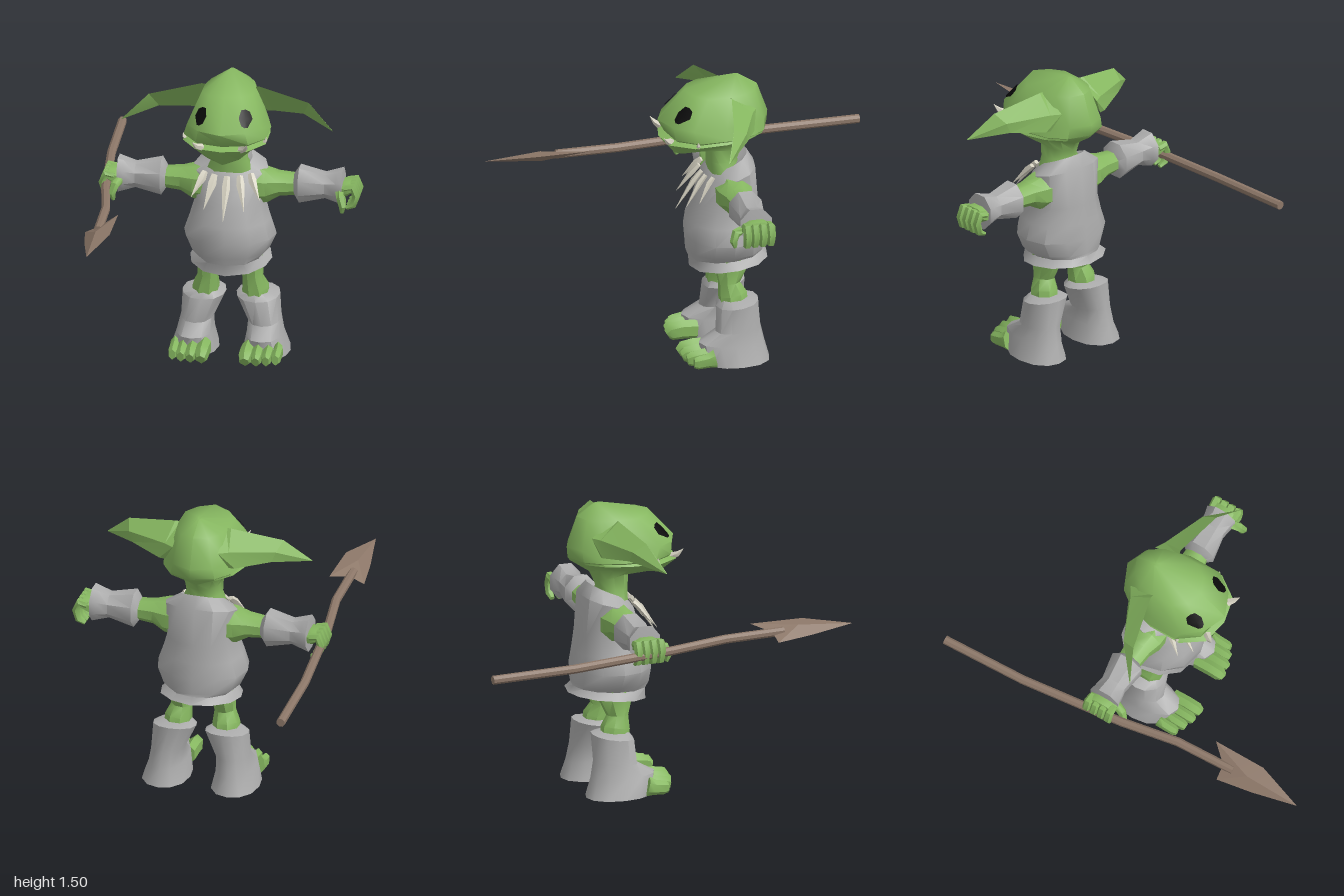
import * as THREE from 'three';
import { toCreasedNormals } from 'three/addons/utils/BufferGeometryUtils.js';

const mat = (name, color) => {
  const m = new THREE.MeshStandardMaterial({ color });
  m.name = name;
  return m;
};
const V = (a) => new THREE.Vector3(...a);

// Turns triangles into a closed mesh whose faces point outwards
function solid(name, pts, tris, material, crease = 0.75) {
  let volume = 0;
  for (const [a, b, c] of tris) volume += pts[a].dot(pts[b].clone().cross(pts[c]));
  const index = tris.flatMap(([a, b, c]) => (volume < 0 ? [a, c, b] : [a, b, c]));
  const geo = new THREE.BufferGeometry().setFromPoints(pts);
  geo.setIndex(index);
  const mesh = new THREE.Mesh(toCreasedNormals(geo, crease), material);
  mesh.name = name;
  return mesh;
}

// Skins a list of rings and closes both ends
function loft(name, rings, material, crease) {
  const n = rings[0].length, pts = rings.flat(), tris = [];
  for (let r = 0; r + 1 < rings.length; r++) {
    for (let i = 0; i < n; i++) {
      const a = r * n + i, b = r * n + ((i + 1) % n);
      tris.push([a, b, a + n], [b, b + n, a + n]);
    }
  }
  for (const r of [0, rings.length - 1]) {
    const mid = new THREE.Vector3();
    rings[r].forEach((p) => mid.addScaledVector(p, 1 / n));
    const c = pts.push(mid) - 1;
    for (let i = 0; i < n; i++) {
      const a = r * n + i, b = r * n + ((i + 1) % n);
      tris.push(r ? [c, a, b] : [c, b, a]);
    }
  }
  return solid(name, pts, tris, material, crease);
}

// Round section swept along a path, one [a, b] radius pair per point
function sweep(name, path, radii, material, sides = 8, crease) {
  const p = path.map(V), last = p.length - 1;
  const rings = p.map((c, i) => {
    const t = p[Math.min(i + 1, last)].clone().sub(p[Math.max(i - 1, 0)]).normalize();
    const ref = Math.abs(t.z) > 0.8 ? V([0, 1, 0]) : V([0, 0, 1]);
    const b = ref.addScaledVector(t, -ref.dot(t)).normalize();
    const n = t.clone().cross(b);
    return Array.from({ length: sides }, (_, k) => {
      const a = ((k + 0.5) / sides) * Math.PI * 2;
      return c.clone().addScaledVector(n, Math.cos(a) * radii[i][0]).addScaledVector(b, Math.sin(a) * radii[i][1]);
    });
  });
  return loft(name, rings, material, crease);
}

// Horizontal half-outlines: [share of half width, share of depth from back]
const bodyShape = [[0, 1], [0.55, 0.93], [0.9, 0.72], [1, 0.48], [0.88, 0.22], [0.5, 0.05], [0, 0]];
const headShape = (corner) => [[0, 1], [0.63, corner], [1, 0.75], [1, 0.45], [0.86, 0.24], [0.55, 0.08], [0, 0]];

// Ring from half width, front z, back z, front y, back y
function slice([hw, zf, zb, yf, yb = yf, cx = 0, lift = 0], shape = bodyShape) {
  const at = ([x, t], s) => V([cx + s * x * hw, yb + (yf - yb) * t + lift * x, zb + (zf - zb) * t]);
  return [...shape.map((q) => at(q, 1)), ...shape.slice(1, -1).reverse().map((q) => at(q, -1))];
}

export function createModel() {
  const skin = mat('green skin', 0x86b760), cloth = mat('grey cloth', 0xacacac);
  const wood = mat('brown wood', 0x8c7768), ivory = mat('ivory', 0xd6d2c2), black = mat('black', 0x0a0a0a);
  const model = new THREE.Group();
  const body = new THREE.Group();
  body.name = 'body';
  body.position.x = 0.018;
  model.add(body);

  // Head, jaw and neck
  const head = loft('head', [
    [0.13, -0.03, -0.2, 0.94, 0.98],
    [0.09, -0.025, -0.18, 1.05],
    [0.095, -0.02, -0.2, 1.14, 1.1],
    [0.13, 0.145, -0.22, 1.097, 1.14, 0, 0.04],
    [0.212, 0.23, -0.325, 1.2, 1.21],
    [0.2, 0.185, -0.33, 1.212, 1.22],
    [0.212, 0.2, -0.335, 1.225, 1.225],
    [0.192, 0.235, -0.34, 1.29, 1.28],
    [0.13, 0.095, -0.285, 1.443, 1.435, 0, -0.01],
    [0.01, -0.15, -0.19, 1.498],
  ].map((r, i) => slice(r, headShape(i > 6 ? 0.91 : 0.95))), skin, 0.9);
  head.updateMatrixWorld();

  // Tunic with flared hem
  body.add(head, loft('tunic', [
    [0.08, -0.05, -0.19, 0.97, 1.05],
    [0.11, -0.03, -0.228, 0.992, 1.082],
    [0.19, 0.0, -0.265, 0.955, 1.02],
    [0.18, 0.05, -0.285, 0.82],
    [0.208, 0.087, -0.295, 0.725],
    [0.237, 0.096, -0.305, 0.64],
    [0.2, 0.09, -0.308, 0.56],
    [0.172, 0.075, -0.308, 0.52, 0.545],
    [0.21, 0.07, -0.333, 0.462, 0.51, 0, 0.01],
    [0.17, 0.03, -0.28, 0.5, 0.53],
  ].map((r) => slice(r)), cloth, 0.8));

  // Eyes follow the face surface
  const ray = new THREE.Raycaster();
  const eyeOutline = [[0.016, 0.024], [-0.004, 0.038], [-0.024, 0.04], [-0.032, 0.008], [-0.016, -0.024], [0.002, -0.034], [0.016, -0.036], [0.032, -0.008]];
  for (const s of [1, -1]) {
    const pts = [[0, 0], ...eyeOutline].map(([x, y]) => {
      const px = s * (0.111 + x), py = 1.345 + y;
      ray.set(V([px, py, 2]), V([0, 0, -1]));
      const hit = ray.intersectObject(head)[0];
      return V([px, py, hit ? hit.point.z : 0.12]).add(V([s * 0.004, 0.004, 0.005]));
    });
    const n = eyeOutline.length, index = [];
    for (let i = 0; i < n; i++) {
      const a = i + 1, b = ((i + 1) % n) + 1;
      index.push(0, ...(s > 0 ? [a, b] : [b, a]));
    }
    const geo = new THREE.BufferGeometry().setFromPoints(pts);
    geo.setIndex(index);
    geo.computeVertexNormals();
    const eye = new THREE.Mesh(geo, black);
    eye.name = s > 0 ? 'leftEye' : 'rightEye';
    body.add(eye);
  }

  for (const s of [1, -1]) {
    const side = s > 0 ? 'left' : 'right';
    const M = (path) => path.map(([x, y, z]) => [s * x, y, z]);
    const add = (part, path, radii, material, sides, crease) =>
      body.add(sweep(side + part, M(path), radii, material, sides, crease));

    // Ear: triangular sections of top edge, lower edge and back ridge
    body.add(loft(side + 'Ear', [
      [[0.12, 1.43, -0.11], [0.17, 1.262, -0.22], [0.12, 1.35, -0.25]],
      [[0.148, 1.432, -0.115], [0.2, 1.264, -0.22], [0.17, 1.35, -0.22]],
      [[0.41, 1.38, -0.06], [0.37, 1.288, -0.14], [0.39, 1.34, -0.13]],
      [[0.543, 1.257, 0.0], [0.541, 1.255, -0.004], [0.542, 1.257, -0.004]],
    ].map((r) => M(r).map(V)), skin, 0.3));

    // Tusks
    add('FrontTusk', [[0.1, 1.205, 0.19], [0.125, 1.22, 0.215], [0.14, 1.248, 0.238]], [[0.02, 0.02], [0.014, 0.014], [0.001, 0.001]], ivory, 5);
    add('SideTusk', [[0.195, 1.2, 0.07], [0.21, 1.215, 0.075], [0.213, 1.235, 0.075]], [[0.01, 0.014], [0.008, 0.01], [0.001, 0.001]], ivory, 5);

    // Arm and bracer
    add('Arm', [[0.13, 0.9, -0.125], [0.185, 0.902, -0.125], [0.25, 0.91, -0.127], [0.35, 0.91, -0.13], [0.56, 0.905, -0.13]],
      [[0.1, 0.1], [0.093, 0.095], [0.065, 0.072], [0.055, 0.06], [0.045, 0.055]], skin);
    add('Bracer', [0.325, 0.353, 0.485, 0.545, 0.575, 0.58].map((x) => [x, 0.912, -0.132]),
      [[0.055, 0.06], [0.1, 0.092], [0.068, 0.07], [0.088, 0.08], [0.098, 0.088], [0.045, 0.055]], cloth);

    // Hand with curled fingers and thumb
    add('Palm', [[0.54, 0.9, -0.13], [0.585, 0.908, -0.13], [0.625, 0.92, -0.13]], [[0.04, 0.055], [0.045, 0.082], [0.03, 0.082]], skin);
    for (let f = 0; f < 4; f++) {
      const z = -0.07 - f * 0.041;
      add('Finger' + (f + 1), [[0.59, 0.92, z], [0.632, 0.93, z], [0.65, 0.885, z], [0.635, 0.835, z], [0.6, 0.818, z]],
        [[0.02, 0.02], [0.022, 0.023], [0.02, 0.023], [0.019, 0.021], [0.011, 0.014]], skin, 6);
    }
    add('Thumb', [[0.56, 0.9, -0.08], [0.58, 0.885, -0.025], [0.59, 0.845, -0.01], [0.585, 0.81, -0.02]],
      [[0.025, 0.025], [0.024, 0.024], [0.02, 0.02], [0.01, 0.01]], skin, 6);

    // Leg and boot
    add('Leg', [[0.11, 0.56, -0.12], [0.112, 0.49, -0.12], [0.115, 0.4, -0.11], [0.126, 0.34, -0.125], [0.13, 0.28, -0.13]],
      [[0.062, 0.1], [0.06, 0.09], [0.054, 0.056], [0.07, 0.075], [0.07, 0.075]], skin);
    body.add(loft(side + 'Boot', [
      [0.075, -0.06, -0.215, 0.318, 0.325, s * 0.13],
      [0.112, -0.035, -0.253, 0.285, 0.318, s * 0.138],
      [0.085, -0.025, -0.258, 0.16, 0.18, s * 0.172],
      [0.095, 0.065, -0.278, 0.11, 0.09, s * 0.178],
      [0.122, 0.045, -0.302, 0, 0, s * 0.183],
    ].map((r) => slice(r)), cloth, 0.8));

    // Toes, big toe on the inside
    [[0.112, 0.035, 0.155], [0.168, 0.028, 0.15], [0.218, 0.026, 0.135], [0.264, 0.025, 0.11]].forEach(([x, r, z], i) =>
      add('Toe' + (i + 1), [[x, 0.05, 0], [x, 0.054 - i * 0.004, z - 0.075], [x, 0.048 - i * 0.004, z - 0.02], [x, 0.036, z]],
        [[r, 0.052], [r, 0.052 - i * 0.004], [r, 0.048 - i * 0.004], [r * 0.7, 0.028]], skin, 6));
  }

  // Necklace of fangs
  [[0, 0.98, 0.005, 0, 0.785, 0.14], [0.065, 0.985, 0, 0.103, 0.835, 0.11], [0.118, 0.99, -0.025, 0.175, 0.88, 0.06]].forEach(([x, y, z, tx, ty, tz], i) => {
    for (const s of i ? [1, -1] : [1]) {
      body.add(sweep('necklaceFang', [[s * x, y, z], [s * (x * 0.8 + tx * 0.2), y * 0.75 + ty * 0.25, z * 0.7 + tz * 0.3], [s * tx, ty, tz]],
        [[0.016, 0.012], [0.023, 0.014], [0.001, 0.001]], ivory, 5));
    }
  });

  // Spear shaft
  const spear = new THREE.Group();
  spear.name = 'spear';
  model.add(spear);
  const shaft = [[-0.675, 0.846, -1], [-0.66, 0.852, -0.55], [-0.605, 0.874, 0], [-0.555, 0.887, 0.3], [-0.545, 0.893, 0.62]];
  spear.add(sweep('spearShaft', shaft, shaft.map(() => [0.023, 0.023]), wood, 8));

  // Spearhead: outline fanned to an upper and a lower ridge point
  const rim = [[-0.465, 0.925, 0.47], [-0.465, 0.925, 0.75], [-0.545, 0.895, 0.995], [-0.593, 0.872, 0.757], [-0.62, 0.858, 0.566], [-0.545, 0.893, 0.56]];
  const headPts = [...rim, [-0.545, 0.918, 0.7], [-0.53, 0.87, 0.7]].map(V);
  const headTris = rim.flatMap((_, i) => {
    const j = (i + 1) % rim.length;
    return [[6, i, j], [7, j, i]];
  });
  spear.add(solid('spearHead', headPts, headTris, wood, 0.2));
  return model;
}
